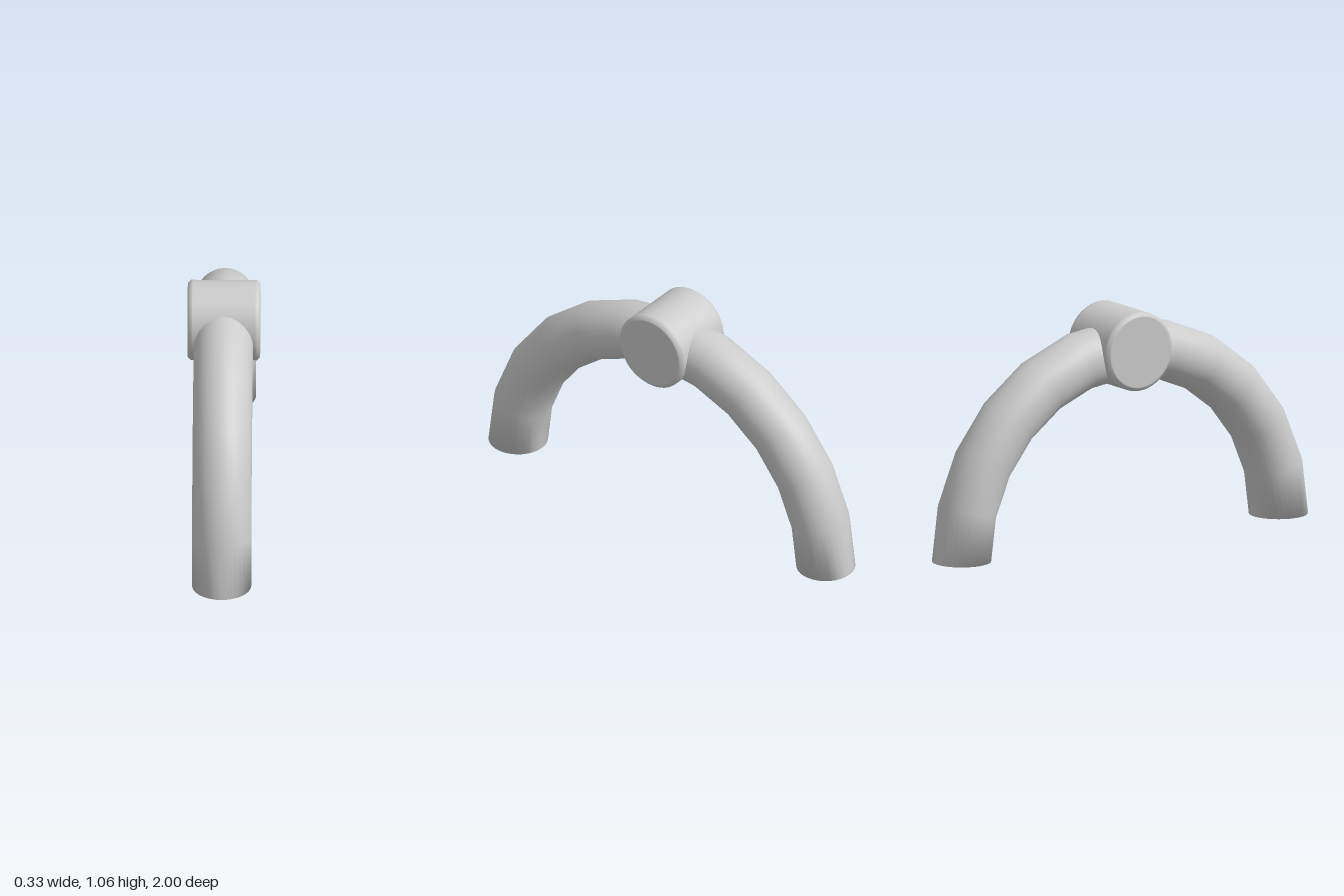
import * as THREE from 'three';
import { mergeVertices } from 'three/addons/utils/BufferGeometryUtils.js';

const SIDES = 32, STEPS = 12;

// Half torus with closed feet, shaded smoothly across the foot rims
function archGeometry() {
  const geo = new THREE.TorusGeometry(0.8665, 0.1335, SIDES, STEPS, Math.PI);
  const index = Array.from(geo.index.array);
  for (const end of [0, STEPS]) {
    const v = (j) => j * (STEPS + 1) + end;
    const tri = (a, b, c) => (end === 0 ? index.push(v(a), v(b), v(c)) : index.push(v(a), v(c), v(b)));
    // zigzag strip across the end ring
    for (let a = 0, b = SIDES - 1; a + 1 < b; a++, b--) {
      tri(a, a + 1, b);
      if (a + 1 < b - 1) tri(a + 1, b - 1, b);
    }
  }
  geo.setIndex(index);
  geo.deleteAttribute('uv');
  geo.deleteAttribute('normal');
  const merged = mergeVertices(geo);
  merged.rotateY(Math.PI / 2);
  merged.computeVertexNormals();
  return merged;
}

// Cylinder with a small bevel at both ends, lying along x
function hubGeometry() {
  const half = [[0, 0.163], [0.16, 0.163], [0.167, 0.163], [0.18, 0.149], [0.18, 0.14]];
  const profile = [
    ...half.map(([r, h]) => new THREE.Vector2(r, -h)),
    ...half.slice().reverse().map(([r, h]) => new THREE.Vector2(r, h)),
  ];
  return new THREE.LatheGeometry(profile, 48).rotateZ(Math.PI / 2);
}

export function createModel() {
  const group = new THREE.Group();
  const material = new THREE.MeshStandardMaterial({ color: 0xcccccc, side: THREE.DoubleSide });

  const arch = new THREE.Mesh(archGeometry(), material);
  arch.name = 'arch';

  const hub = new THREE.Mesh(hubGeometry(), material);
  hub.name = 'crossHub';
  hub.position.y = 0.88;

  group.add(arch, hub);
  return group;
}
